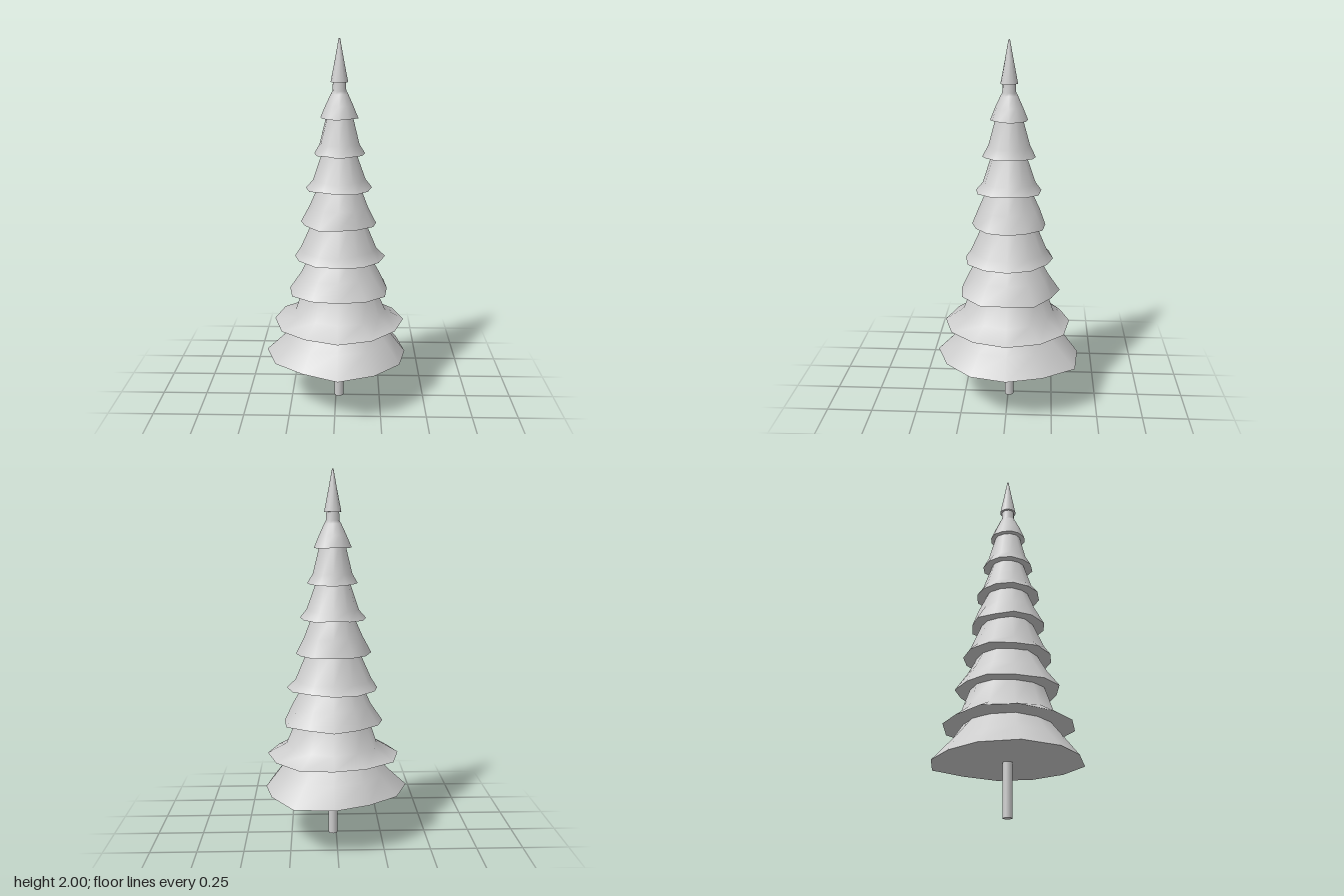
import * as THREE from 'three';

const SIDES = 12;
const foliage = new THREE.MeshStandardMaterial({ color: 0xcccccc });
foliage.name = 'pale grey';

// Small seeded random numbers in the range -1 to 1
let seed = 11;
const wobble = () => {
  seed = (seed * 16807) % 2147483647;
  return (seed / 2147483647) * 2 - 1;
};

// Uneven skirt radii of the lower tiers, starting at +x and turning toward +z
const skirts = [
  [0.372, 0.384, 0.384, 0.403, 0.378, 0.396, 0.408, 0.389, 0.366, 0.387, 0.424, 0.384],
  [0.36, 0.352, 0.353, 0.357, 0.347, 0.355, 0.36, 0.367, 0.33, 0.337, 0.35, 0.354],
  [0.265, 0.288, 0.286, 0.263, 0.286, 0.289, 0.273, 0.275, 0.265, 0.28, 0.27, 0.29],
];

// Each tier is a list of [y, radius] rings from the skirt upward
const tiers = [
  [[0.28, 0.39], [0.38, 0.3], [0.5, 0.205]],
  [[0.465, 0.355], [0.525, 0.25], [0.68, 0.19]],
  [[0.655, 0.275], [0.75, 0.215], [0.87, 0.15]],
  [[0.84, 0.245], [0.885, 0.205], [1.06, 0.13]],
  [[1.03, 0.203], [1.12, 0.158], [1.25, 0.105]],
  [[1.22, 0.178], [1.265, 0.14], [1.43, 0.085]],
  [[1.405, 0.138], [1.46, 0.107], [1.62, 0.065]],
  [[1.595, 0.099], [1.66, 0.073], [1.72, 0.045], [1.735, 0.036], [1.8, 0.033]],
  [[1.78, 0.046], [1.9, 0.022], [2, 0.004]],
];

// Shell of stacked uneven rings, with flat caps on separate vertices
function tierGeometry(rings, skirt, amount) {
  const pos = [], index = [];
  const addRing = (points) => points.forEach((p) => pos.push(...p));
  const loops = rings.map(([y, r], k) => {
    const jitter = k === 0 ? amount : amount * 0.7;
    return Array.from({ length: SIDES }, (_, i) => {
      const a = (i / SIDES) * Math.PI * 2;
      const rad = k === 0 && skirt ? skirt[i] : r * (1 + wobble() * jitter);
      const h = k === rings.length - 1 ? y : y + wobble() * 0.1 * amount;
      return [Math.cos(a) * rad, h, Math.sin(a) * rad];
    });
  });
  loops.forEach(addRing);
  for (let k = 0; k < loops.length - 1; k++) {
    for (let i = 0; i < SIDES; i++) {
      const j = (i + 1) % SIDES;
      const a = k * SIDES + i, b = k * SIDES + j;
      index.push(a, a + SIDES, b, b, a + SIDES, b + SIDES);
    }
  }
  // Underside and top caps
  [[loops[0], false], [loops[loops.length - 1], true]].forEach(([loop, up]) => {
    const base = pos.length / 3;
    addRing(loop);
    pos.push(0, loop.reduce((s, p) => s + p[1], 0) / SIDES, 0);
    for (let i = 0; i < SIDES; i++) {
      const a = base + i, b = base + ((i + 1) % SIDES), c = base + SIDES;
      if (up) index.push(c, b, a);
      else index.push(c, a, b);
    }
  });
  const g = new THREE.BufferGeometry();
  g.setAttribute('position', new THREE.Float32BufferAttribute(pos, 3));
  g.setIndex(index);
  g.computeVertexNormals();
  return g;
}

export function createModel() {
  seed = 11;
  const group = new THREE.Group();
  group.name = 'coniferTree';
  const tree = new THREE.Group();
  tree.name = 'tree';
  tree.position.set(0.018, 0, -0.006);
  group.add(tree);

  // Slim trunk
  const trunk = new THREE.Mesh(new THREE.CylinderGeometry(0.025, 0.025, 0.32, SIDES), foliage);
  trunk.name = 'trunk';
  trunk.position.y = 0.16;
  tree.add(trunk);

  // Overlapping skirts of branches, and the pointed tip
  tiers.forEach((rings, n) => {
    const amount = n < 7 ? 0.045 : 0.02;
    const tier = new THREE.Mesh(tierGeometry(rings, skirts[n], amount), foliage);
    tier.name = n === tiers.length - 1 ? 'treeTip' : `branchTier${n + 1}`;
    tree.add(tier);
  });
  return group;
}
